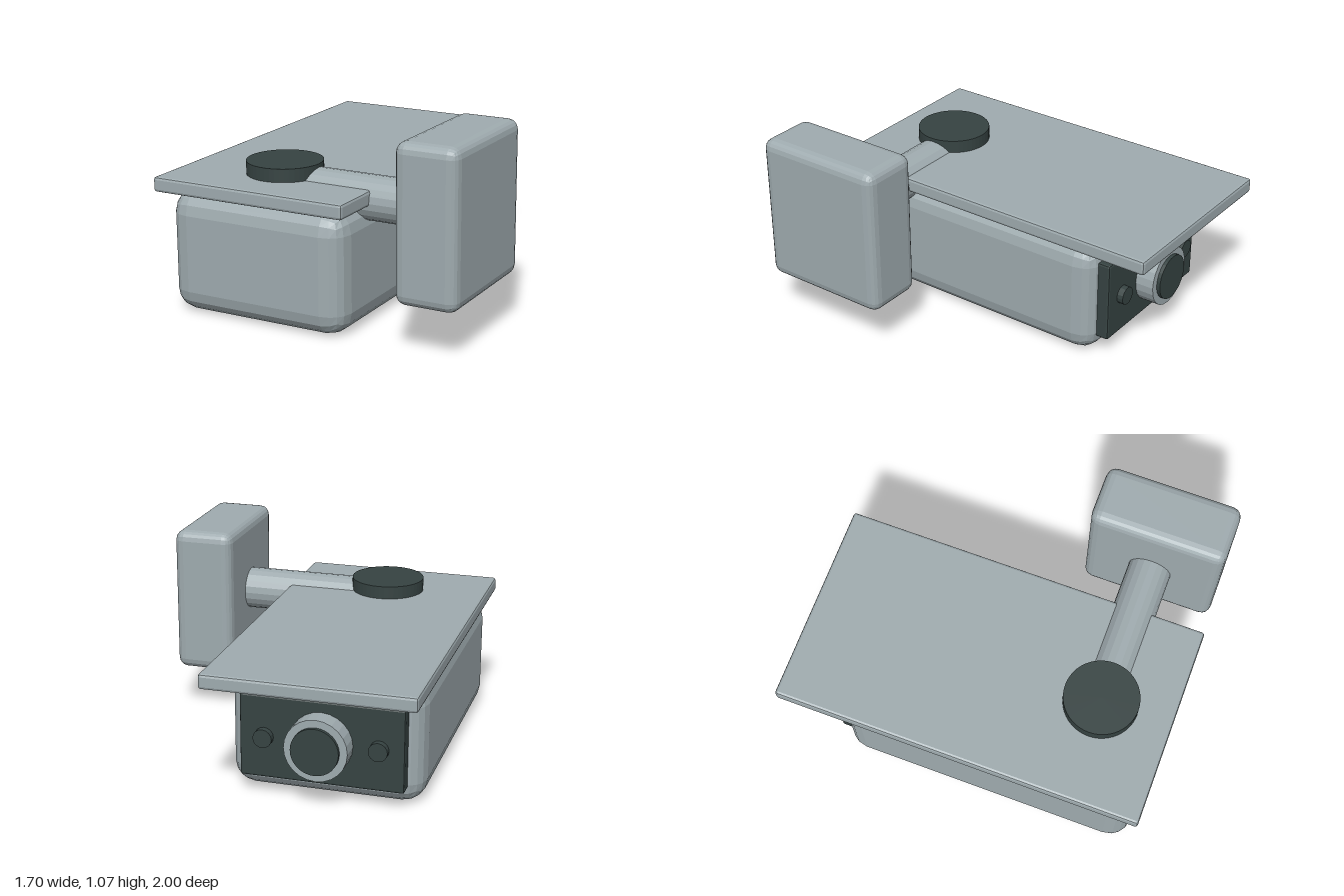
import * as THREE from 'three';
import { RoundedBoxGeometry } from 'three/addons/geometries/RoundedBoxGeometry.js';

export function createModel() {
  const model = new THREE.Group();
  model.name = 'securityCamera';

  const shell = new THREE.MeshStandardMaterial({ name: 'shell grey', color: 0x9fabaf, flatShading: true });
  const dark = new THREE.MeshStandardMaterial({ name: 'dark slate', color: 0x364342, flatShading: true });

  const add = (parent, name, geometry, material, x, y, z) => {
    const mesh = new THREE.Mesh(geometry, material);
    mesh.name = name;
    mesh.position.set(x, y, z);
    parent.add(mesh);
    return mesh;
  };

  // Bevelled box given by its lower and upper corners
  const box = (parent, name, min, max, radius, segments, material) => {
    const size = max.map((v, i) => v - min[i]);
    const mid = max.map((v, i) => (v + min[i]) / 2);
    return add(parent, name, new RoundedBoxGeometry(...size, segments, radius), material, ...mid);
  };

  // Cylinder running along z between two depths
  const barrel = (parent, name, radius, x, y, z0, z1, sides, material) => {
    const geometry = new THREE.CylinderGeometry(radius, radius, Math.abs(z1 - z0), sides).rotateX(Math.PI / 2);
    return add(parent, name, geometry, material, x, y, (z0 + z1) / 2);
  };

  // Housing and sun shield
  box(model, 'housing', [-0.81, 0, -0.67], [0.21, 0.65, 0.95], 0.12, 2, shell);
  box(model, 'sunShield', [-0.85, 0.65, -1], [0.25, 0.73, 1], 0.015, 1, shell);

  // Wall bracket: pivot disc, arm and mounting box
  const bracket = new THREE.Group();
  bracket.name = 'wallBracket';
  model.add(bracket);
  add(bracket, 'pivotDisc', new THREE.CylinderGeometry(0.2, 0.2, 0.155, 48), dark, -0.3, 0.7225, 0.61);
  const armGeometry = new THREE.CylinderGeometry(0.117, 0.117, 0.84, 20).rotateZ(Math.PI / 2);
  add(bracket, 'arm', armGeometry, shell, 0.12, 0.665, 0.607);
  box(bracket, 'mountingBox', [0.515, 0.26, 0.24], [0.85, 1.07, 0.98], 0.055, 2, shell);

  // Lens end
  const lens = new THREE.Group();
  lens.name = 'lensAssembly';
  model.add(lens);
  const cx = -0.3, cy = 0.325;
  box(lens, 'facePlate', [cx - 0.43, 0.1, -0.73], [cx + 0.43, 0.55, -0.65], 0.012, 1, dark);
  barrel(lens, 'lensBarrel', 0.165, cx, cy, -0.72, -0.835, 24, shell);
  barrel(lens, 'lensGlass', 0.125, cx, cy, -0.83, -0.855, 32, dark);
  for (const side of [-1, 1]) {
    barrel(lens, side > 0 ? 'leftSensor' : 'rightSensor', 0.05, cx + side * 0.3, cy, -0.72, -0.765, 16, dark);
  }

  return model;
}
